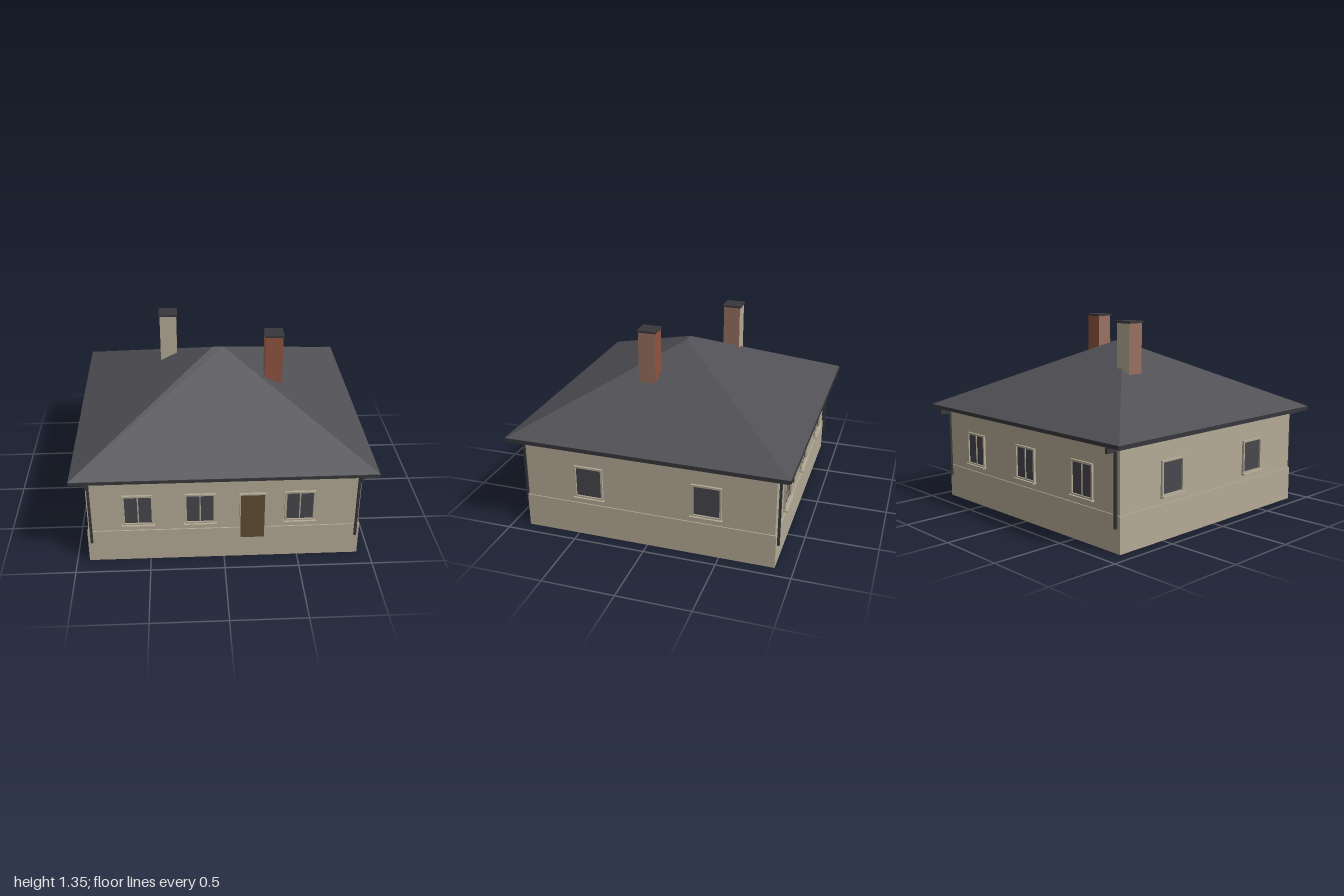
import * as THREE from 'three';

const mat = (name, color) => {
  const m = new THREE.MeshStandardMaterial({ color });
  m.name = name;
  return m;
};

export function createModel() {
  const house = new THREE.Group();
  house.name = 'house';
  const wall = mat('beige plaster', 0xb4aa96);
  const slate = mat('slate roof', 0x504f54);
  const trim = mat('dark metal', 0x38383c);
  const glass = mat('window glass', 0x47474d);
  const wood = mat('brown door', 0x604a33);
  const brick = mat('red brick', 0x90543f);
  const paleBrick = mat('pale brick', 0x98705f);
  const ground = mat('dark base', 0x2c2c2e);

  // Box given by its limits on each axis
  function box(parent, name, material, [x0, x1], [y0, y1], [z0, z1]) {
    const mesh = new THREE.Mesh(new THREE.BoxGeometry(x1 - x0, y1 - y0, z1 - z0), material);
    mesh.position.set((x0 + x1) / 2, (y0 + y1) / 2, (z0 + z1) / 2);
    mesh.name = name;
    parent.add(mesh);
    return mesh;
  }

  // Walls on a slightly wider plinth; the underside is dark
  const WX = 0.909, WZ = 0.868;
  box(house, 'plinth', [wall, wall, wall, ground, wall, wall], [-0.917, 0.917], [0, 0.24], [-0.876, 0.876]);
  box(house, 'walls', wall, [-WX, WX], [0.24, 0.68], [-WZ, WZ]);

  // Hipped roof: four slopes meeting in a very short ridge
  const ex = 1, ez = 0.965, ey = 0.7, ry = 1.175;
  const A = [-ex, ey, ez], B = [ex, ey, ez], C = [ex, ey, -ez], D = [-ex, ey, -ez];
  const L = [-0.04, ry, 0], R = [0.04, ry, 0];
  const tris = [A, B, R, A, R, L, B, C, R, C, D, L, C, L, R, D, A, L];
  const roofGeo = new THREE.BufferGeometry();
  roofGeo.setAttribute('position', new THREE.Float32BufferAttribute(tris.flat(), 3));
  roofGeo.computeVertexNormals();
  const roof = new THREE.Mesh(roofGeo, slate);
  roof.name = 'roofSlopes';
  house.add(roof);
  box(house, 'eaves', trim, [-ex, ex], [0.672, ey], [-0.96, 0.96]);

  // Gutters, outlets and downpipes, front and back
  for (const s of [1, -1]) {
    const drain = new THREE.Group();
    drain.name = s > 0 ? 'frontDrainage' : 'backDrainage';
    drain.rotation.y = s > 0 ? 0 : Math.PI;
    box(drain, 'gutter', trim, [-ex, ex], [0.68, 0.7], [0.955, 0.97]);
    for (const x of [-0.89, 0.89]) {
      box(drain, 'gutterOutlet', trim, [x - 0.008, x + 0.008], [0.635, 0.675], [0.88, 0.965]);
      box(drain, 'downpipe', trim, [x - 0.008, x + 0.008], [0.16, 0.672], [0.88, 0.896]);
    }
    house.add(drain);
  }

  // Window facing +z with its wall plane at z = 0
  function makeWindow(panes) {
    const g = new THREE.Group();
    g.name = 'window';
    const w = 0.089, t = 0.013;
    box(g, 'frameTop', wall, [-w - t, w + t], [0.51, 0.523], [-0.005, 0.015]);
    for (const s of [-1, 1]) {
      const x = s * (w + t / 2);
      box(g, 'frameSide', wall, [x - t / 2, x + t / 2], [0.29, 0.51], [-0.005, 0.015]);
    }
    box(g, 'sill', wall, [-0.109, 0.109], [0.282, 0.292], [-0.005, 0.03]);
    box(g, 'frameBottom', wall, [-w, w], [0.292, 0.302], [-0.005, 0.015]);
    if (panes === 1) {
      box(g, 'pane', glass, [-w, w], [0.302, 0.51], [-0.003, 0.004]);
    } else {
      box(g, 'mullion', wall, [-0.004, 0.004], [0.302, 0.51], [-0.005, 0.01]);
      for (const [a, b] of [[-w, -0.004], [0.004, w]]) {
        box(g, 'pane', glass, [a, b], [0.302, 0.51], [-0.003, 0.004]);
      }
    }
    return g;
  }
  function placeWindow(panes, x, z, turn) {
    const g = makeWindow(panes);
    g.position.set(x, 0, z);
    g.rotation.y = turn;
    house.add(g);
  }
  for (const x of [-0.572, -0.16, 0.506]) placeWindow(2, x, WZ, 0);
  for (const x of [-0.572, 0, 0.572]) placeWindow(2, x, -WZ, Math.PI);
  for (const z of [-0.412, 0.412]) {
    placeWindow(1, WX, z, Math.PI / 2);
    placeWindow(1, -WX, z, -Math.PI / 2);
  }

  // Door with a slim surround
  box(house, 'door', wood, [0.11, 0.27], [0.16, 0.505], [0.86, 0.88]);
  box(house, 'doorFrameTop', wall, [0.1, 0.28], [0.505, 0.516], [0.86, 0.883]);
  for (const x of [0.1, 0.27]) {
    box(house, 'doorFrameSide', wall, [x, x + 0.01], [0.16, 0.505], [0.86, 0.883]);
  }

  // Chimneys with flat caps
  function chimney(x, z, face) {
    const g = new THREE.Group();
    g.name = 'chimney';
    const r = 0.06, c = 0.067;
    box(g, 'stack', [paleBrick, paleBrick, brick, brick, face, face], [-r, r], [0.85, 1.336], [-r, r]);
    box(g, 'cap', trim, [-c, c], [1.336, 1.35], [-c, c]);
    g.position.set(x, 0, z);
    house.add(g);
  }
  chimney(-0.351, -0.24, wall);
  chimney(0.378, 0.157, brick);

  return house;
}
